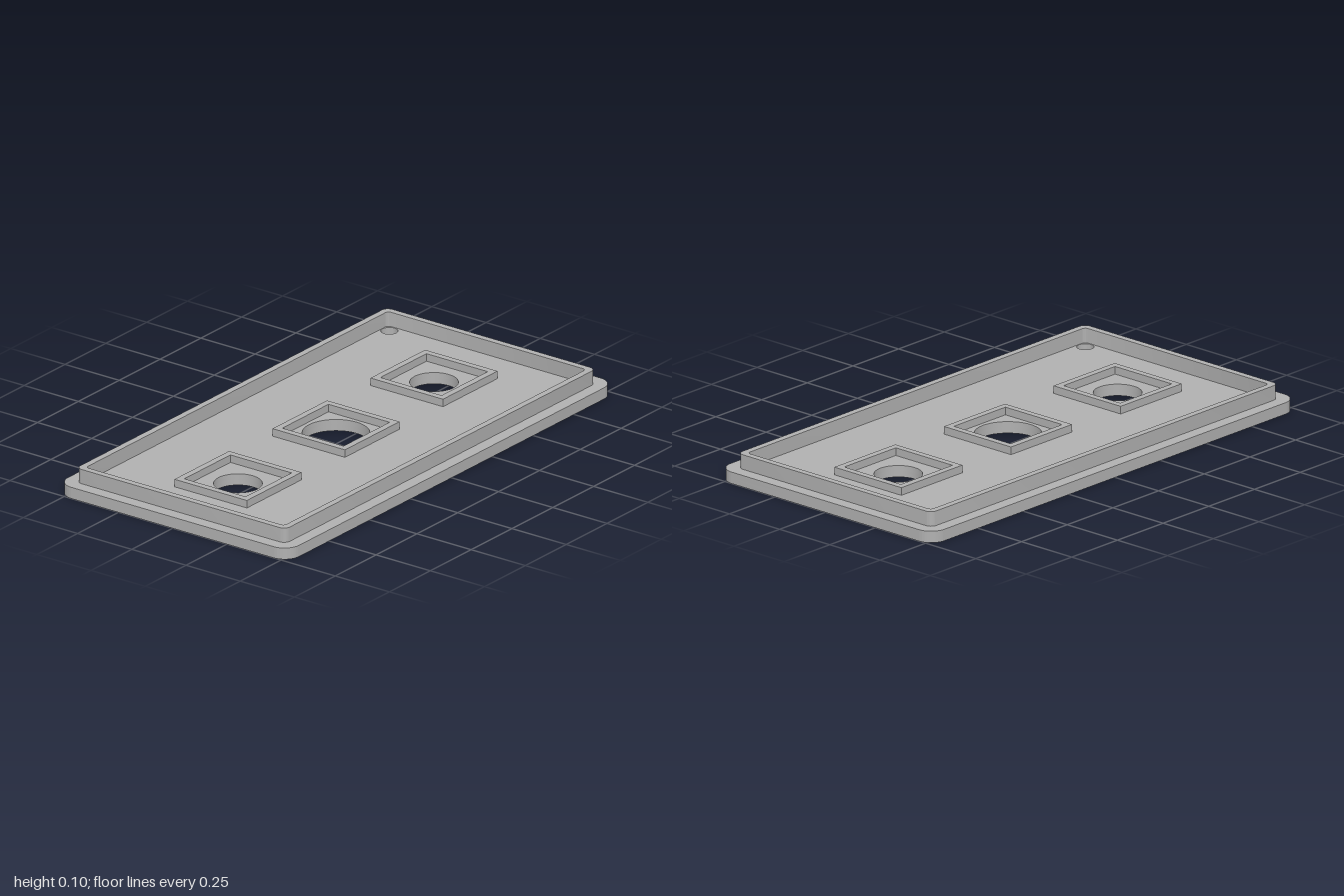
import * as THREE from 'three';
import { toCreasedNormals } from 'three/addons/utils/BufferGeometryUtils.js';

const BASE_TOP = 0.045, RIM_TOP = 0.102, FRAME_TOP = 0.075, MARK_DEPTH = 0.024;

// Rounded rectangle from half sizes, drawn on a Shape or Path
function roundRect(path, hw, hh, r) {
  path.moveTo(hw - r, -hh);
  path.absarc(hw - r, -hh + r, r, -Math.PI / 2, 0);
  path.absarc(hw - r, hh - r, r, 0, Math.PI / 2);
  path.absarc(-hw + r, hh - r, r, Math.PI / 2, Math.PI);
  path.absarc(-hw + r, -hh + r, r, Math.PI, Math.PI * 1.5);
  path.closePath();
  return path;
}

function rect(path, hw, hh) {
  path.moveTo(-hw, -hh).lineTo(hw, -hh).lineTo(hw, hh).lineTo(-hw, hh).closePath();
  return path;
}

// Circular hole at model position x, z
const hole = (x, z, r) => new THREE.Path().absarc(x, -z, r, 0, Math.PI * 2);

export function createModel() {
  const group = new THREE.Group();
  const grey = new THREE.MeshStandardMaterial({ color: 0xb0b0b0 });
  grey.name = 'grey plastic';

  // Stand a flat outline up between two heights
  function slab(name, shape, y0, y1) {
    let geo = new THREE.ExtrudeGeometry(shape, { depth: y1 - y0, bevelEnabled: false, curveSegments: 24 });
    geo.rotateX(-Math.PI / 2);
    geo.translate(0, y0, 0);
    geo = toCreasedNormals(geo, 0.5);
    const mesh = new THREE.Mesh(geo, grey);
    mesh.name = name;
    group.add(mesh);
  }

  // Plate outline with control holes and corner screw holes
  function plateShape() {
    const shape = roundRect(new THREE.Shape(), 0.533, 1, 0.067);
    shape.holes.push(hole(0, -0.6, 0.09), hole(0, 0, 0.125), hole(0, 0.6, 0.09));
    for (const x of [-0.423, 0.423])
      for (const z of [-0.888, 0.888]) shape.holes.push(hole(x, z, 0.032));
    return shape;
  }

  // Outer face layer, with sunken dots and arrow on the underside
  const face = plateShape();
  for (const [x, z] of [[0.26, -0.6], [0.185, -0.6], [0.223, 0.6]]) face.holes.push(hole(x, z, 0.025));
  const arrow = new THREE.Path();
  arrow.moveTo(-0.078, -0.8).lineTo(0.078, -0.8).lineTo(0, -0.907).closePath();
  face.holes.push(arrow);
  slab('plateFace', face, 0, MARK_DEPTH);
  slab('plateBack', plateShape(), MARK_DEPTH, BASE_TOP);

  // Raised lip that fits inside the box
  const rim = roundRect(new THREE.Shape(), 0.483, 0.95, 0.027);
  rim.holes.push(roundRect(new THREE.Path(), 0.457, 0.924, 0.015));
  slab('rim', rim, BASE_TOP, RIM_TOP);

  // Square frames around the control holes
  for (const z of [-0.6, 0, 0.6]) {
    const frame = rect(new THREE.Shape(), 0.167, 0.167);
    frame.holes.push(rect(new THREE.Path(), 0.141, 0.141));
    slab('controlFrame', frame, BASE_TOP, FRAME_TOP);
    group.children.at(-1).position.z = z;
  }
  return group;
}
